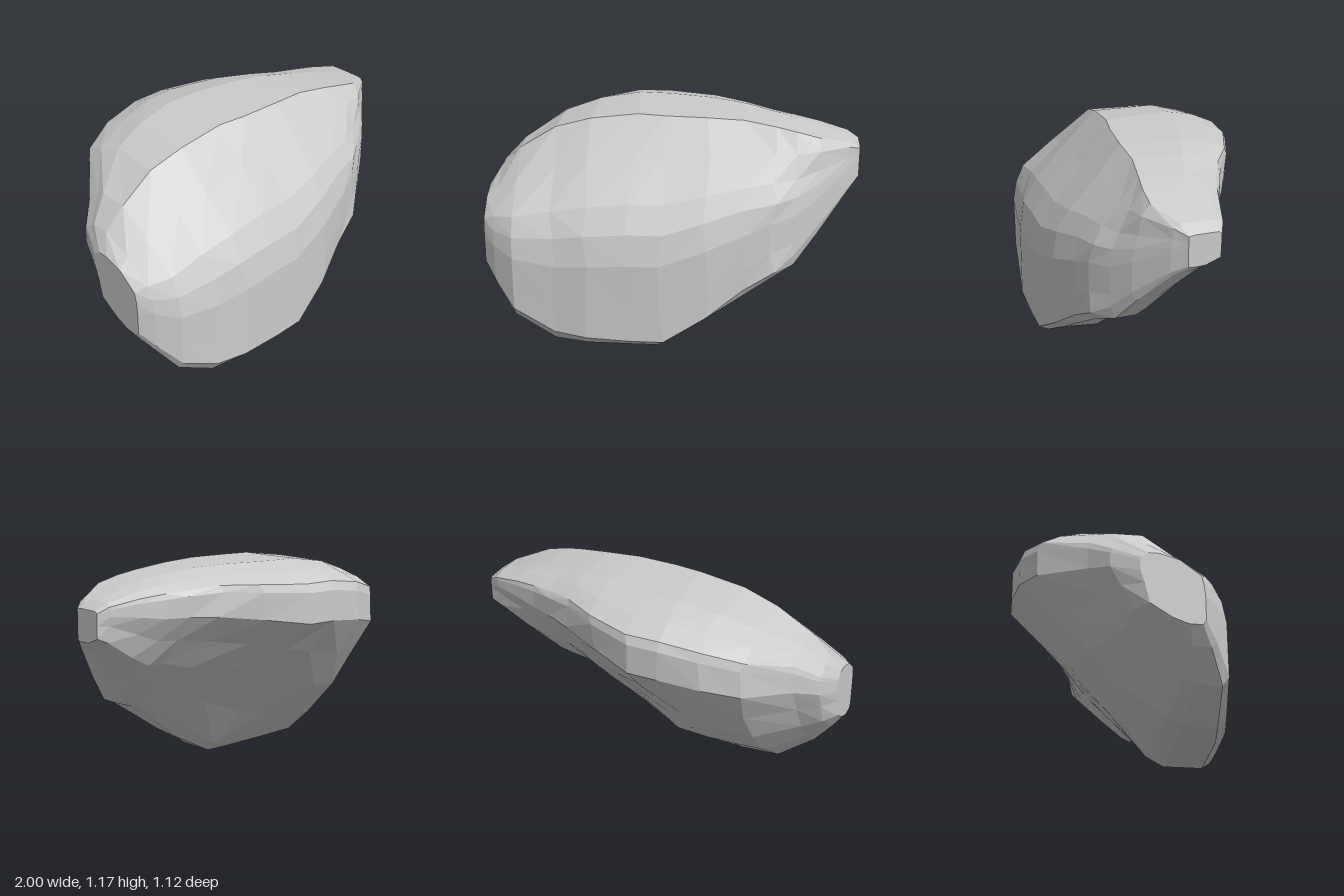
import * as THREE from 'three';

// Stations along the boulder:
// x, front z, back z, bottom y, top y, ridge position, boxiness, underside flatness, front chamfer
const STATIONS = [
  [-1, 0.35, 0.03, 0.38, 0.76, 0.3, 0.5, 0, 0.06],
  [-0.94, 0.41, -0.11, 0.29, 0.85, 0.33, 0.2, 0, 0.06],
  [-0.83, 0.49, -0.21, 0.14, 0.96, 0.4, 0.05, 0, 0.06],
  [-0.62, 0.52, -0.45, 0.01, 1.08, 0.53, 0, 0, 0.06],
  [-0.43, 0.55, -0.53, 0, 1.14, 0.57, 0, 0.1, 0.05],
  [-0.2, 0.555, -0.56, 0, 1.175, 0.59, 0, 0.5, 0.04],
  [-0.04, 0.555, -0.555, 0, 1.175, 0.61, 0, 0.9, 0.04],
  [0.2, 0.52, -0.46, 0.14, 1.175, 0.61, 0, 0.8, 0.04],
  [0.4, 0.46, -0.35, 0.28, 1.165, 0.6, 0, 0.4, 0.05],
  [0.54, 0.42, -0.28, 0.37, 1.14, 0.63, 0, 0.3, 0.06],
  [0.66, 0.35, -0.23, 0.42, 1.12, 0.7, 0.1, 0.2, 0.1],
  [0.78, 0.27, -0.19, 0.57, 1.09, 0.8, 0.3, 0.1, 0.1],
  [0.94, 0.13, -0.14, 0.77, 1.04, 0.82, 0.65, 0, 0.06],
  [1, 0.06, -0.11, 0.83, 1.0, 0.82, 0.95, 0, 0.05],
];

// Leaning slab outline in unit coordinates: front face, ridge, top, back edge, underside
const outline = (ridge, flat, chamfer) => [
  [1, chamfer], [1, 0.2], [1, 0.42], [0.97, 0.56], [0.9, 0.68],
  [(ridge + 0.9) / 2, 0.84], [ridge, 1], [ridge * 0.45, 1], [0.12, 0.965], [0.02, 0.92],
  [0, 0.88], [0, 0.74], [0.13 + 0.02 * flat, 0.55 + 0.06 * flat],
  [0.28 + 0.04 * flat, 0.36 + 0.09 * flat], [0.48 + 0.03 * flat, 0.17 + 0.08 * flat],
  [0.68, 0.03 + 0.03 * flat], [0.76, 0], [0.95, 0],
];

function seeded(seed) {
  return () => {
    seed = (seed * 16807) % 2147483647;
    return seed / 2147483647 - 0.5;
  };
}

function boulderGeometry() {
  const rand = seeded(41);
  const rings = STATIONS.map(([x, zf, zb, yb, yt, ridge, box, flat, chamfer], i) => {
    // Small shifts along the broad middle break up the regular facets
    const wobble = i > 2 && i < 10 ? 0.04 : 0;
    return outline(ridge, flat, chamfer).map(([u, v]) => {
      // Push the blunt ends towards a square outline
      const m = 2 * Math.max(Math.abs(u - 0.5), Math.abs(v - 0.5));
      const s = THREE.MathUtils.lerp(1, 1 / m, box);
      const z = zb + (zf - zb) * (0.5 + (u - 0.5) * s);
      const y = yb + (yt - yb) * (0.5 + (v - 0.5) * s);
      return new THREE.Vector3(x + rand() * wobble, y, z);
    });
  });
  const centres = rings.map((ring) =>
    ring.reduce((sum, p) => sum.add(p), new THREE.Vector3()).divideScalar(ring.length));

  const n = rings[0].length;
  const triangles = [];
  for (let i = 0; i < rings.length - 1; i++) {
    const core = centres[i].clone().lerp(centres[i + 1], 0.5);
    const reach = (p, q) => p.clone().lerp(q, 0.5).distanceTo(core);
    for (let j = 0; j < n; j++) {
      const k = (j + 1) % n;
      const a = rings[i][j], b = rings[i + 1][j], c = rings[i][k], d = rings[i + 1][k];
      // Split each quad along its outer diagonal so the surface stays bulging
      if (reach(b, c) > reach(a, d)) triangles.push(a, b, c, b, d, c);
      else triangles.push(a, b, d, a, d, c);
    }
  }

  // Close both ends with fans
  const last = rings.length - 1;
  for (let j = 0; j < n; j++) {
    const k = (j + 1) % n;
    triangles.push(centres[0], rings[0][j], rings[0][k]);
    triangles.push(centres[last], rings[last][k], rings[last][j]);
  }

  const geometry = new THREE.BufferGeometry().setFromPoints(triangles);
  geometry.computeVertexNormals();
  return geometry;
}

export function createModel() {
  const group = new THREE.Group();
  group.name = 'rock';
  const material = new THREE.MeshStandardMaterial({ color: 0xcccccc, flatShading: true });
  const boulder = new THREE.Mesh(boulderGeometry(), material);
  boulder.name = 'boulder';
  group.add(boulder);
  return group;
}
